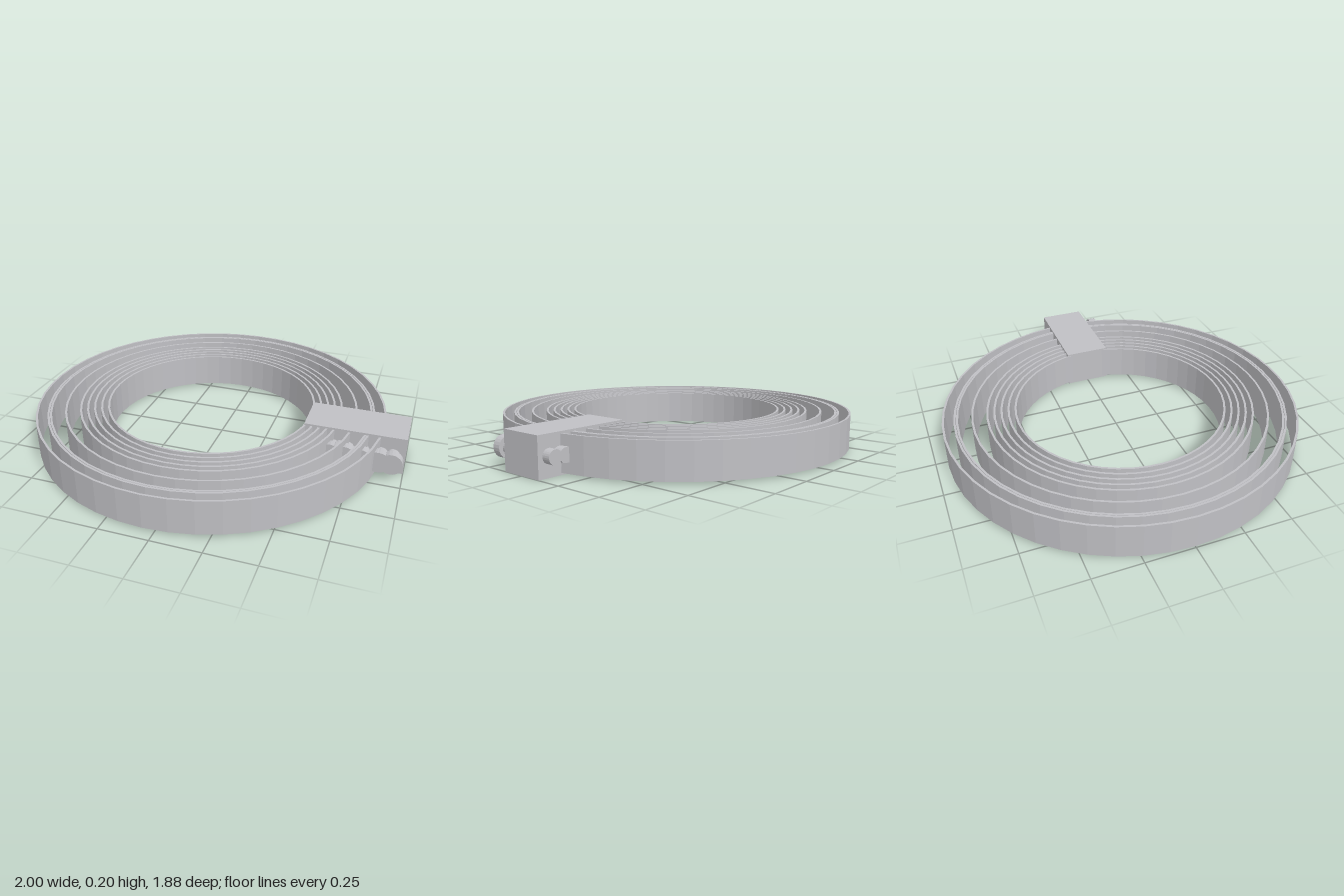
import * as THREE from 'three';

const steel = new THREE.MeshStandardMaterial({ color: 0xc0c0c4, flatShading: true });
steel.name = 'steel';

const CENTER_X = -0.06;
const THICKNESS = 0.011;
// outer radius of each nested clamp
const RADII = [0.94, 0.881, 0.868, 0.79, 0.712, 0.675, 0.638, 0.601, 0.564];

function add(group, name, geometry, x, y, z) {
  const mesh = new THREE.Mesh(geometry, steel);
  mesh.name = name;
  mesh.position.set(x, y, z);
  group.add(mesh);
}

// cylinder lying along z between two depths
function rod(group, name, radius, z0, z1, x) {
  const geometry = new THREE.CylinderGeometry(radius, radius, z1 - z0, 24);
  geometry.rotateX(Math.PI / 2);
  add(group, name, geometry, x, 0.1, (z0 + z1) / 2);
}

function makeClamp(radius) {
  const clamp = new THREE.Group();
  clamp.name = 'hoseClamp';

  // thin closed band, rectangular in section
  const inner = radius - THICKNESS;
  const section = [
    [inner, 0.01], [radius, 0.01], [radius, 0.19], [inner, 0.19], [inner, 0.01],
  ].map(([r, y]) => new THREE.Vector2(r, y));
  add(clamp, 'band', new THREE.LatheGeometry(section, 48), 0, 0, 0);

  // screw housing straddling the band
  add(clamp, 'screwHousing', new THREE.BoxGeometry(0.14, 0.2, 0.24), radius + 0.05, 0.1, 0);

  // tightening screw through the housing
  rod(clamp, 'screwShaft', 0.036, -0.166, 0.17, radius + 0.06);
  rod(clamp, 'screwHead', 0.056, 0.168, 0.212, radius + 0.06);
  return clamp;
}

export function createModel() {
  const model = new THREE.Group();
  model.name = 'nestedHoseClamps';
  for (const radius of RADII) {
    const clamp = makeClamp(radius);
    clamp.position.x = CENTER_X;
    model.add(clamp);
  }
  return model;
}
